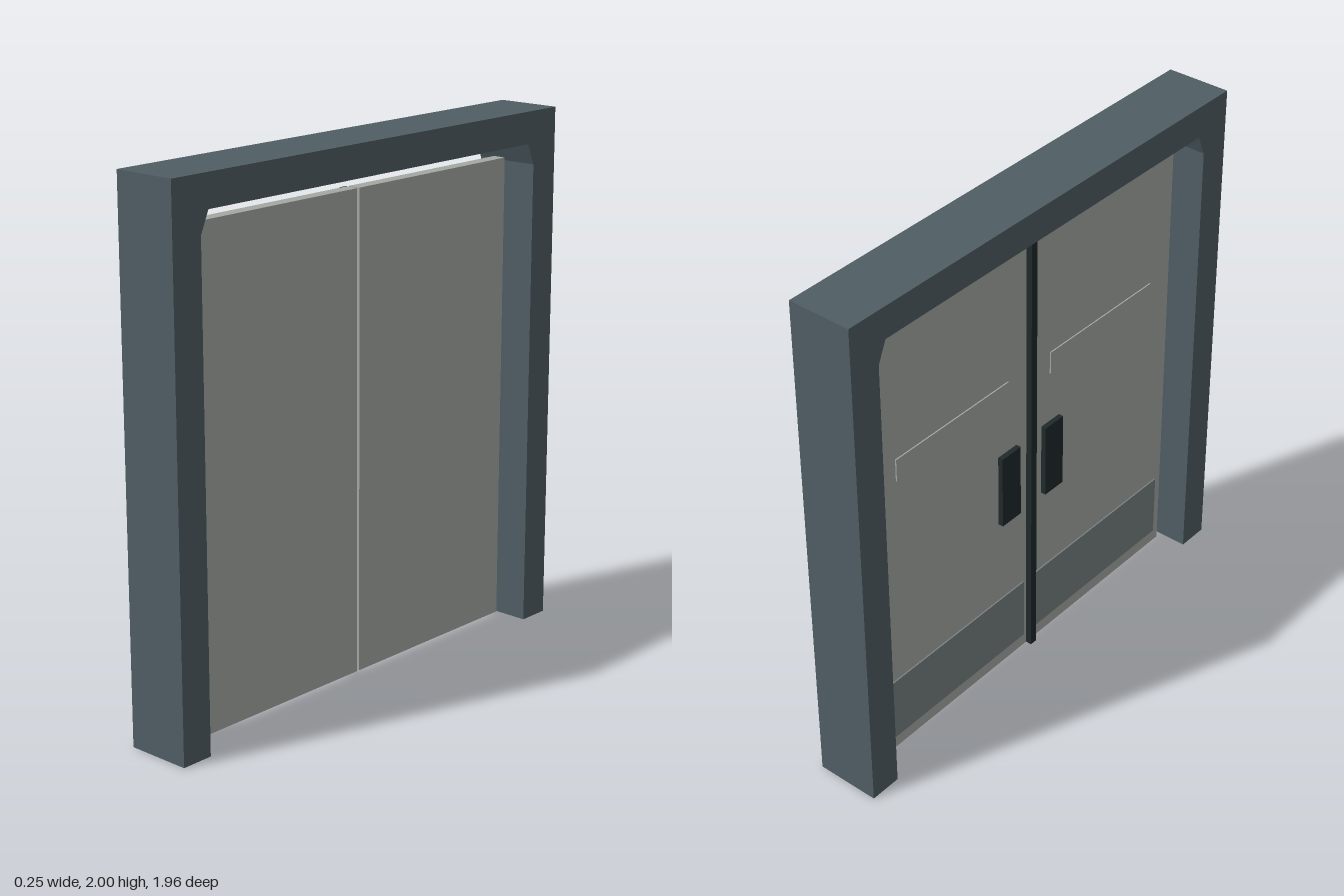
import * as THREE from 'three';

const mat = (name, color) => {
  const m = new THREE.MeshStandardMaterial({ color });
  m.name = name;
  return m;
};

export function createModel() {
  const frameSteel = mat('frame blue grey', 0x4f5d63);
  const doorPaint = mat('door light grey', 0xa4a8a3);
  const kickSteel = mat('kick plate grey', 0x777f81);
  const darkTrim = mat('dark trim', 0x1f292b);

  const model = new THREE.Group();
  model.name = 'doubleDoor';

  // box given by its x, y and z ranges
  const box = (name, material, [x0, x1], [y0, y1], [z0, z1], parent) => {
    const geo = new THREE.BoxGeometry(x1 - x0, y1 - y0, z1 - z0);
    geo.translate((x0 + x1) / 2, (y0 + y1) / 2, (z0 + z1) / 2);
    const mesh = new THREE.Mesh(geo, material);
    mesh.name = name;
    parent.add(mesh);
  };

  // portal frame with chamfered inner corners, extruded across the wall depth
  const outline = [
    [-0.98, 0], [-0.855, 0], [-0.855, 1.8], [-0.82, 1.88],
    [0.82, 1.88], [0.855, 1.8], [0.855, 0], [0.98, 0], [0.98, 2], [-0.98, 2],
  ];
  const shape = new THREE.Shape(outline.map(([z, y]) => new THREE.Vector2(z, y)));
  const frameGeo = new THREE.ExtrudeGeometry(shape, { depth: 0.25, bevelEnabled: false });
  frameGeo.translate(0, 0, -0.125);
  frameGeo.rotateY(Math.PI / 2);
  const frame = new THREE.Mesh(frameGeo, frameSteel);
  frame.name = 'frame';
  model.add(frame);

  // two mirrored door leaves; the fittings sit on the -x face
  const face = -0.025;
  for (const side of [1, -1]) {
    const leaf = new THREE.Group();
    leaf.name = side > 0 ? 'leftLeaf' : 'rightLeaf';
    const span = (a, b) => (side > 0 ? [a, b] : [-b, -a]);
    box('doorPanel', doorPaint, [face, 0.025], [0.02, 1.82], span(0.006, 0.81), leaf);
    box('kickPlate', kickSteel, [face - 0.006, face], [0.075, 0.335], span(0.035, 0.775), leaf);
    box('raisedPanel', doorPaint, [face - 0.005, face], [1.2, 1.29], span(0.115, 0.695), leaf);
    box('handlePlate', darkTrim, [face - 0.02, face], [0.69, 0.99], span(0.07, 0.17), leaf);
    model.add(leaf);
  }

  // strip covering the meeting edge of the leaves
  box('meetingStrip', darkTrim, [face - 0.024, face], [0.02, 1.815], [-0.015, 0.015], model);

  return model;
}
